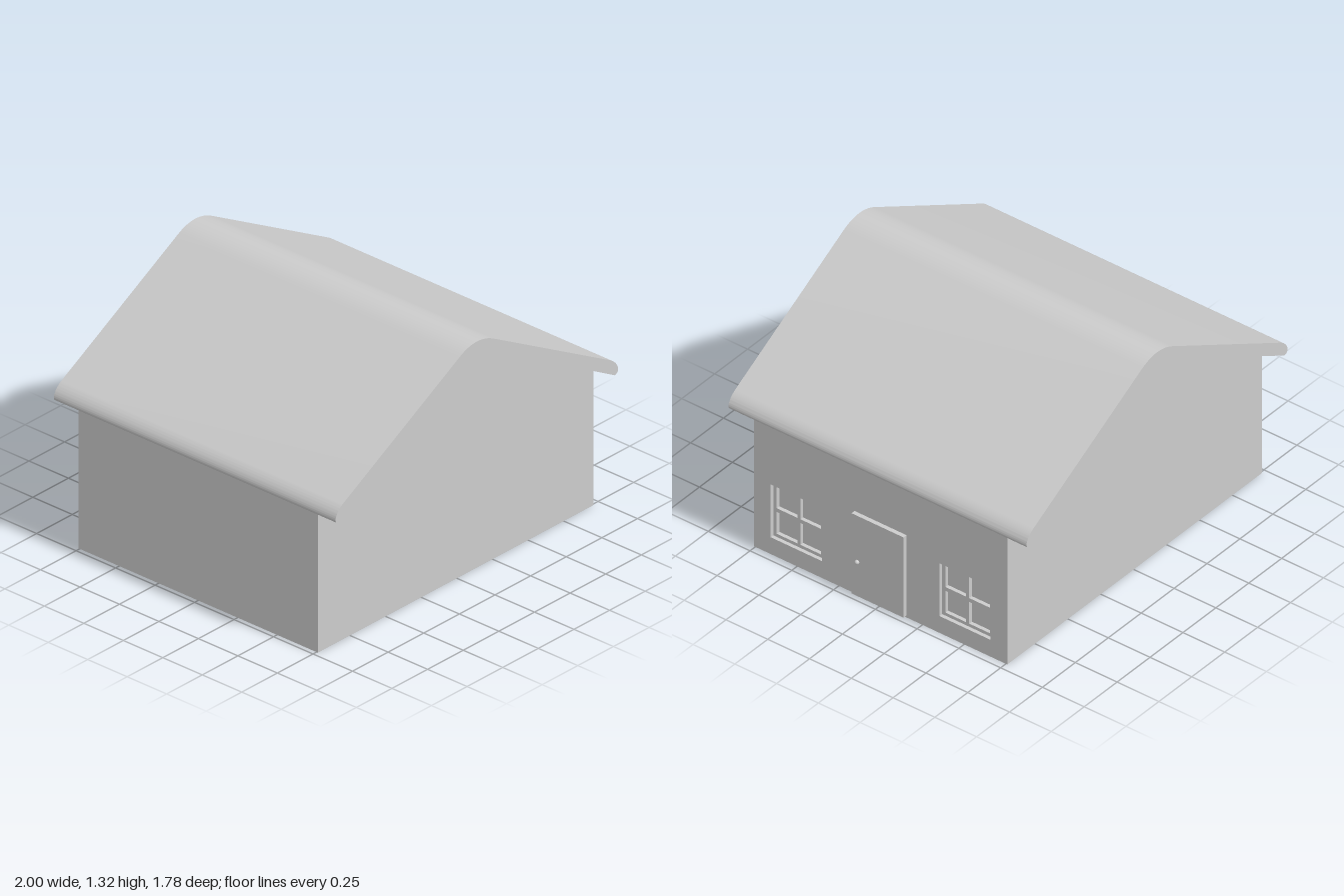
import * as THREE from 'three';
import { toCreasedNormals } from 'three/addons/utils/BufferGeometryUtils.js';

const CX = -0.0075;            // ridge line
const HALF = 0.9675;           // half width of the walls
const EAVE = 0.748, RIDGE = 1.29;
const WALL_Z = 0.758, ROOF_Z = 0.892;
const PANEL = 0.04;            // thickness of the wall that holds the windows
const WALL_X = CX + HALF;      // outer face of that wall

const rect = (Type, x, y, w, h) => new Type([
  new THREE.Vector2(x, y), new THREE.Vector2(x + w, y),
  new THREE.Vector2(x + w, y + h), new THREE.Vector2(x, y + h),
]);

export function createModel() {
  const model = new THREE.Group();
  const material = new THREE.MeshStandardMaterial({ color: 0xcccccc });

  const add = (name, geometry, parent = model) => {
    const mesh = new THREE.Mesh(geometry, material);
    mesh.name = name;
    parent.add(mesh);
    return mesh;
  };
  const extrude = (shape, depth) =>
    new THREE.ExtrudeGeometry(shape, { depth, bevelEnabled: false, curveSegments: 16 });
  // Extrude towards +x; the shape's x runs along -z
  const extrudeX = (shape, depth, x) => extrude(shape, depth).rotateY(Math.PI / 2).translate(x, 0, 0);

  // Gabled house body, stepped back behind the window wall
  const body = new THREE.Shape();
  body.moveTo(-HALF, 0);
  body.lineTo(HALF - PANEL, 0);
  body.lineTo(HALF - PANEL, EAVE);
  body.lineTo(HALF, EAVE);
  body.lineTo(0, RIDGE);
  body.lineTo(-HALF, EAVE);
  body.closePath();
  add('houseBody', extrude(body, 2 * WALL_Z).translate(CX, 0, -WALL_Z));

  // Front door wall with two window openings
  const win = { w: 0.306, y: 0.098, h: 0.308, centres: [-0.505, 0.505] };
  const wall = rect(THREE.Shape, -WALL_Z, 0, 2 * WALL_Z, EAVE);
  for (const c of win.centres) wall.holes.push(rect(THREE.Path, c - win.w / 2, win.y, win.w, win.h));
  add('windowWall', extrudeX(wall, PANEL, WALL_X - PANEL));

  // Recessed four-pane frames; the panes are the body surface behind
  const pane = 0.123, bar = 0.0095;
  for (const c of win.centres) {
    const frame = rect(THREE.Shape, c - win.w / 2, win.y, win.w, win.h);
    for (const x of [c - bar - pane, c + bar])
      for (const y of [0.116, 0.265])
        frame.holes.push(rect(THREE.Path, x, y, pane, 0.127));
    add('windowFrame', extrudeX(frame, 0.02, WALL_X - PANEL));
  }

  // Roof slab with rounded ridge and eaves
  const roof = new THREE.Shape();
  roof.moveTo(0, RIDGE);
  roof.lineTo(-HALF, 0.746);
  roof.quadraticCurveTo(-0.987, 0.749, -0.992, 0.767);
  roof.bezierCurveTo(-0.992, 0.79, -0.972, 0.82, -0.935, 0.84);
  roof.lineTo(-0.12, 1.29);
  roof.quadraticCurveTo(0, 1.357, 0.12, 1.29);
  roof.lineTo(0.935, 0.84);
  roof.bezierCurveTo(0.972, 0.82, 0.992, 0.79, 0.992, 0.767);
  roof.quadraticCurveTo(0.987, 0.749, HALF, 0.746);
  roof.closePath();
  add('roof', toCreasedNormals(extrude(roof, 2 * ROOF_Z).translate(CX, 0, -ROOF_Z), 0.6));

  // Door and knob
  const door = new THREE.Group();
  door.name = 'door';
  model.add(door);
  add('doorPanel', new THREE.BoxGeometry(0.033, 0.468, 0.311), door).position.set(WALL_X + 0.0065, 0.246, 0);
  add('doorKnob', new THREE.SphereGeometry(0.012, 20, 14), door).position.set(0.988, 0.213, 0.12);

  return model;
}
